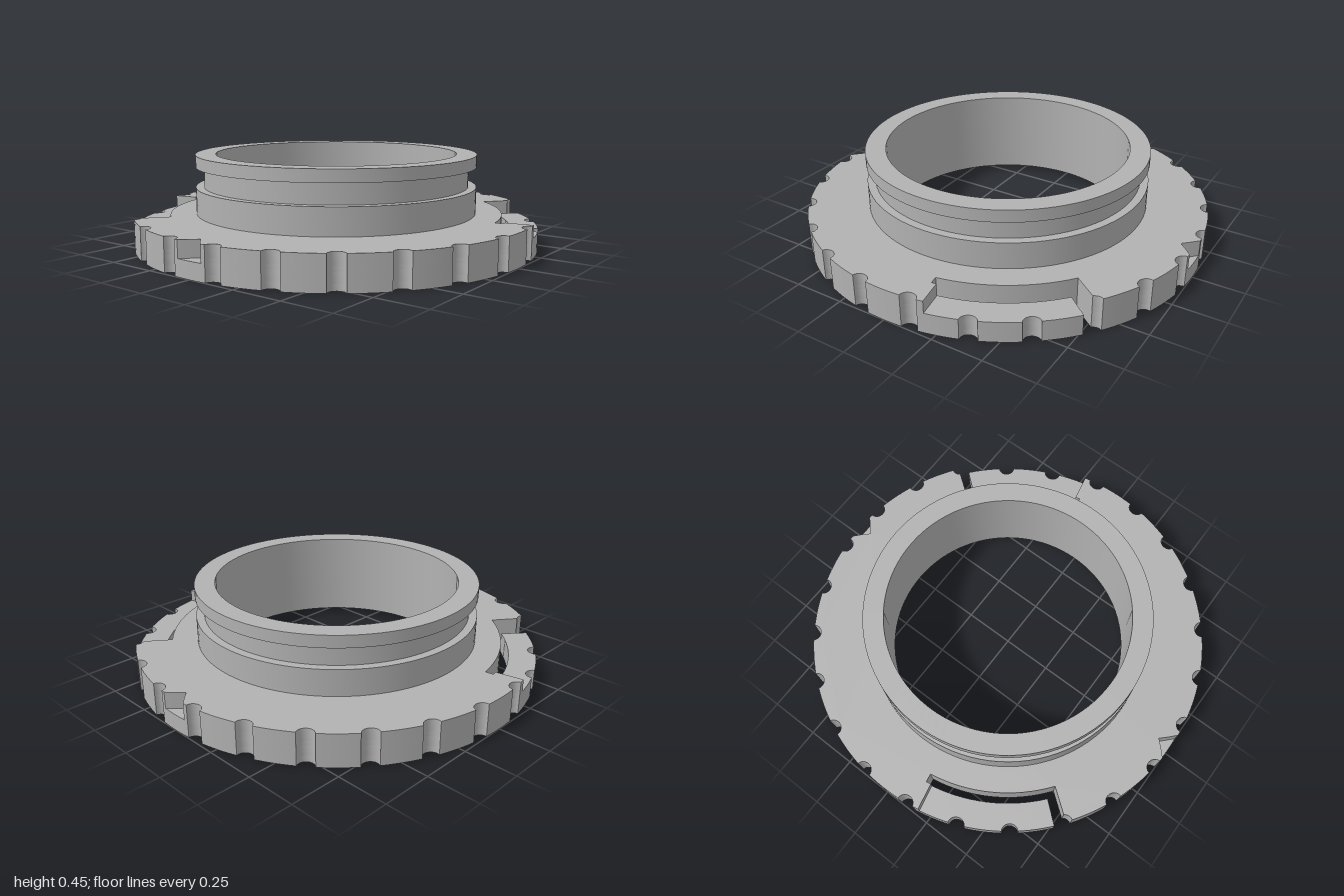
import * as THREE from 'three';
import { toCreasedNormals } from 'three/addons/utils/BufferGeometryUtils.js';

const DEG = Math.PI / 180;
const NOTCH = 0.04, NOTCH_DEPTH = 0.036, VEE = 0.07;
const GAP = 37 * DEG, ARM_TIP = 40.1 * DEG, ARM_ROOT = 78.4 * DEG, SLOT_END = 80 * DEG;
const SLOT_IN = 0.826, SLOT_OUT = 0.867;

const polar = (r, a) => new THREE.Vector2(r * Math.cos(a), r * Math.sin(a));

// Rim angles: round grip notches every 15 degrees with plain arcs between
const rimAngles = [];
for (let n = 0; n < 27; n++) {
  const c = (7.5 + 15 * n) * DEG;
  for (let j = 0; j <= 10; j++) rimAngles.push(c - NOTCH * Math.cos((Math.PI * j) / 10));
  for (const f of [-1, -0.5, 0, 0.5, 1]) rimAngles.push(c + 7.5 * DEG + f * VEE);
}

function rimRadius(a, vee) {
  const step = 15 * DEG;
  const d = Math.abs(a - (Math.floor(a / step) + 0.5) * step);
  if (d < NOTCH) return 1 - NOTCH_DEPTH * Math.sqrt(1 - (d / NOTCH) ** 2);
  const v = Math.abs(a - Math.round(a / Math.PI) * Math.PI);
  return vee && v < VEE ? 1 - VEE + v : 1;
}

function rim(from, to, vee) {
  const inside = rimAngles.filter((a) => a > from + 1e-4 && a < to - 1e-4);
  return [from, ...inside, to].map((a) => polar(rimRadius(a, vee), a));
}

function arc(r, from, to) {
  return Array.from({ length: 17 }, (_, i) => polar(r, from + ((to - from) * i) / 16));
}

// Flange outline: both spring arm slots, or wide recesses above the arms
function flangeShape(inner, vee, recess) {
  const points = [];
  const end = recess ? ARM_ROOT : ARM_TIP;
  for (const turn of [0, Math.PI]) {
    points.push(...arc(SLOT_IN, GAP + turn, SLOT_END + turn));
    points.push(...arc(SLOT_OUT, SLOT_END + turn, end + turn));
    points.push(...rim(end + turn, GAP + Math.PI + turn, vee));
  }
  const shape = new THREE.Shape(points);
  shape.holes.push(new THREE.Path().absarc(0, 0, inner, 0, Math.PI * 2, true));
  return shape;
}

// Extrudes a plan shape (x, z) between two heights
function slab(shape, y0, y1) {
  const geo = new THREE.ExtrudeGeometry(shape, { depth: y1 - y0, bevelEnabled: false, curveSegments: 48 });
  geo.rotateX(Math.PI / 2).translate(0, y1, 0);
  return toCreasedNormals(geo, 32 * DEG);
}

export function createModel() {
  const group = new THREE.Group();
  const grey = new THREE.MeshStandardMaterial({ color: 0xb2b2b2 });
  grey.name = 'grey';
  const add = (name, geo) => {
    const mesh = new THREE.Mesh(geo, grey);
    mesh.name = name;
    group.add(mesh);
  };

  // Underside layer with the wide counterbore and two short radial grooves
  const base = flangeShape(0.735, false, false);
  for (const s of [-1, 1]) {
    const x0 = s * 0.865 - 0.07, x1 = s * 0.865 + 0.07;
    base.holes.push(new THREE.Path([
      new THREE.Vector2(x0, -0.013), new THREE.Vector2(x0, 0.013),
      new THREE.Vector2(x1, 0.013), new THREE.Vector2(x1, -0.013),
    ]));
  }
  add('flangeUnderside', slab(base, 0, 0.03));

  // Arm layers, then the top layer with V index pockets and arm recesses
  add('flangeArms', slab(flangeShape(0.7, false, false), 0.03, 0.08));
  add('flangeArmsUpper', slab(flangeShape(0.7, true, false), 0.08, 0.1));
  add('flangeTop', slab(flangeShape(0.7, true, true), 0.1, 0.16));

  // Hollow neck with a groove below its lip
  const profile = [
    [0.6, 0.03], [0.7, 0.03], [0.7, 0.29], [0.66, 0.29], [0.66, 0.39],
    [0.7, 0.39], [0.7, 0.45], [0.6, 0.45], [0.6, 0.03],
  ].map(([x, y]) => new THREE.Vector2(x, y));
  add('neck', toCreasedNormals(new THREE.LatheGeometry(profile, 96), 32 * DEG));

  return group;
}
